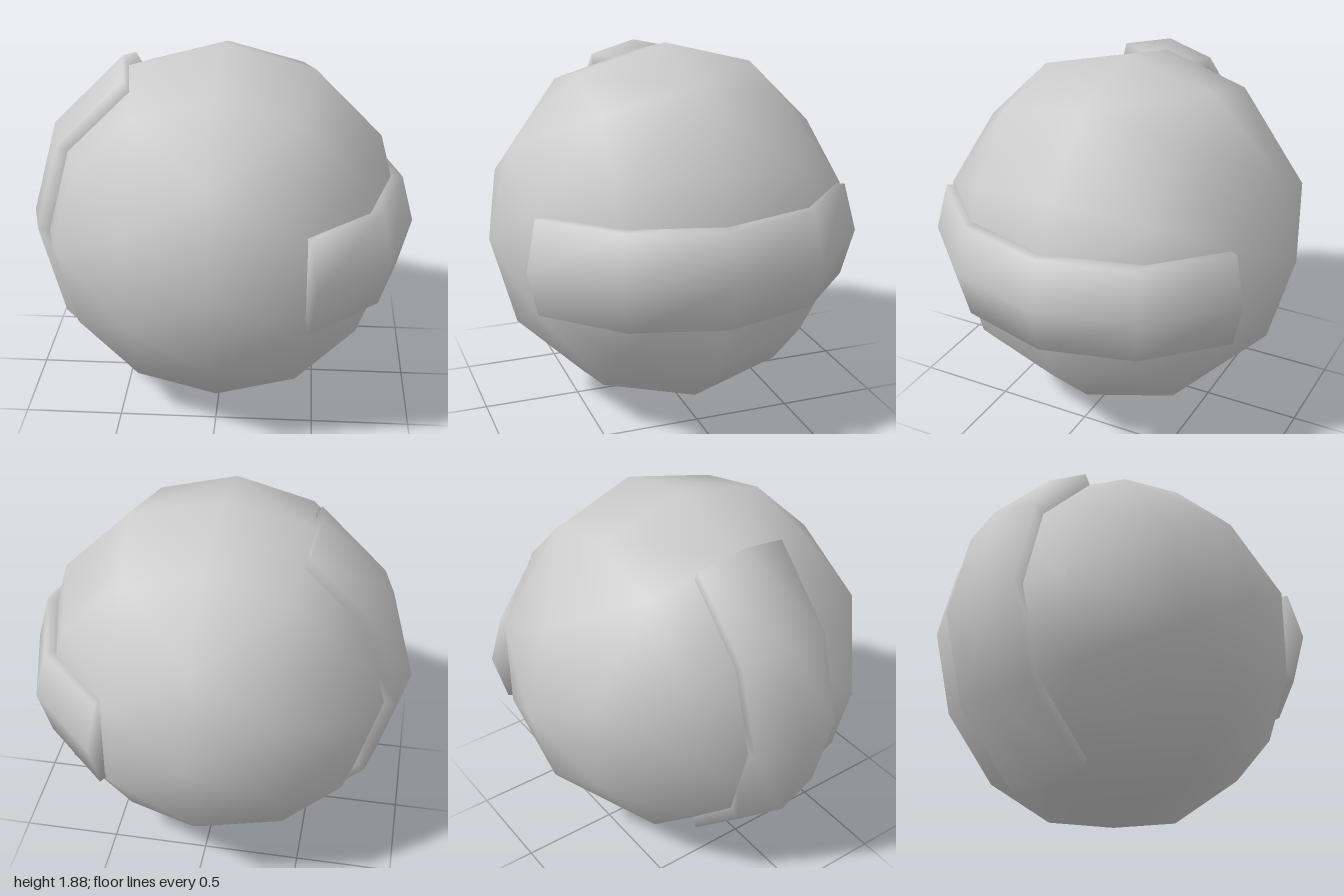
import * as THREE from 'three';
import { mergeGeometries, mergeVertices } from 'three/addons/utils/BufferGeometryUtils.js';
import { ConvexGeometry } from 'three/addons/geometries/ConvexGeometry.js';

const RADIUS = 0.94;
const ARC = Math.PI * 2 / 3;

// Welds corners and gives smooth normals
function smooth(geometry) {
  geometry.deleteAttribute('normal');
  if (geometry.hasAttribute('uv')) geometry.deleteAttribute('uv');
  const welded = mergeVertices(geometry, 1e-4);
  welded.computeVertexNormals();
  return welded;
}

// Low-poly ball: rings about the z axis, with only six points next to each pole
function ballGeometry() {
  const points = [];
  const counts = [1, 6, 12, 12, 12, 6, 1];
  counts.forEach((count, ring) => {
    const polar = ring * Math.PI / 6;
    for (let i = 0; i < count; i++) {
      const a = Math.PI / 2 + i * Math.PI * 2 / count;
      const r = RADIUS * Math.sin(polar);
      points.push(new THREE.Vector3(r * Math.cos(a), r * Math.sin(a), RADIUS * Math.cos(polar)));
    }
  });
  return smooth(new ConvexGeometry(points));
}

// Wide curved band: flattened six-sided tube along a third of a circle, with closed ends
function bandGeometry() {
  const ring = 0.87, tube = 0.13;
  const parts = [new THREE.TorusGeometry(ring, tube, 6, 4, ARC).rotateZ(-ARC / 2)];
  for (const side of [-1, 1]) {
    parts.push(new THREE.CircleGeometry(tube, 6)
      .rotateX(-side * Math.PI / 2)
      .translate(ring, 0, 0)
      .rotateZ(side * ARC / 2));
  }
  return smooth(mergeGeometries(parts).scale(1, 1, 2.18));
}

export function createModel() {
  const model = new THREE.Group();
  model.name = 'bandedBall';
  const material = new THREE.MeshStandardMaterial({ color: 0xcccccc });

  const add = (name, geometry) => {
    const mesh = new THREE.Mesh(geometry, material);
    mesh.name = name;
    mesh.position.y = RADIUS;
    model.add(mesh);
    return mesh;
  };

  add('ball', ballGeometry());

  // One band lies flat around the left side, the other stands upright on the right
  const band = bandGeometry();
  add('leftBand', band).rotation.x = Math.PI / 2;
  add('rightBand', band).rotation.y = Math.PI;

  return model;
}
